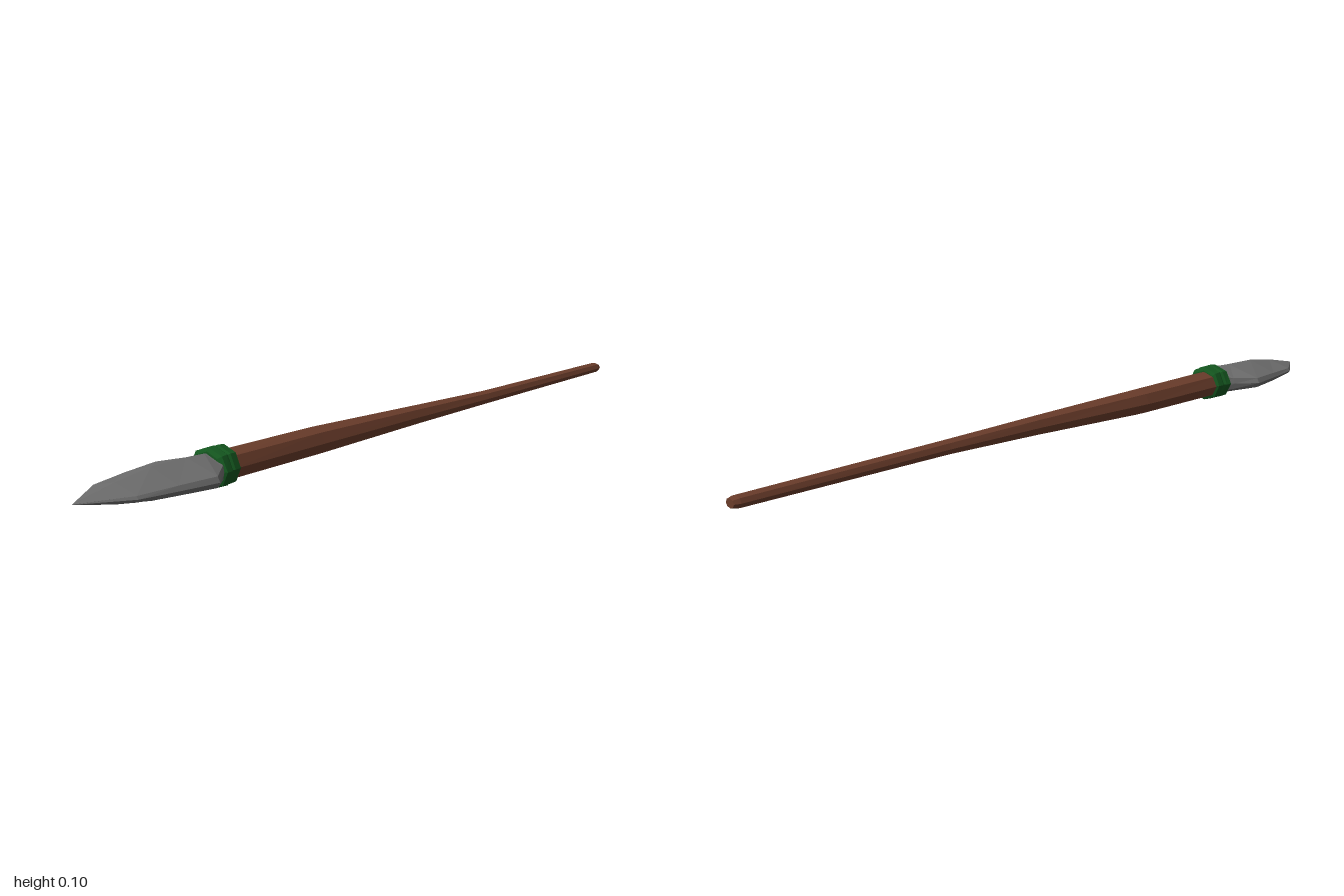
import * as THREE from 'three';

// Skin equal-sized cross-sections (anticlockwise seen from +z) running towards +z, with capped ends
function loft(name, color, sections) {
  const pos = [];
  const tri = (...p) => p.forEach((v) => pos.push(v.x, v.y, v.z));
  const n = sections[0].length;
  for (let i = 0; i < sections.length - 1; i++) {
    for (let j = 0; j < n; j++) {
      const k = (j + 1) % n;
      const [a, b, c, d] = [sections[i][j], sections[i][k], sections[i + 1][j], sections[i + 1][k]];
      tri(a, b, c);
      tri(b, d, c);
    }
  }
  const first = sections[0], last = sections[sections.length - 1];
  for (let j = 1; j < n - 1; j++) {
    tri(first[0], first[j + 1], first[j]);
    tri(last[0], last[j], last[j + 1]);
  }
  const geo = new THREE.BufferGeometry();
  geo.setAttribute('position', new THREE.Float32BufferAttribute(pos, 3));
  geo.computeVertexNormals();
  const mesh = new THREE.Mesh(geo, new THREE.MeshStandardMaterial({ color, flatShading: true }));
  mesh.name = name;
  return mesh;
}

// Faceted oval section
function oval(z, cx, cy, rx, ry, sides = 8) {
  return Array.from({ length: sides }, (_, i) => {
    const a = (i / sides) * Math.PI * 2;
    return new THREE.Vector3(cx + rx * Math.cos(a), cy + ry * Math.sin(a), z);
  });
}

// Flat blade section: central ridge above and below, thin bevelled edges
function blade(z, w, h, edge) {
  const cy = 0.049;
  return [[w, 0], [w * 0.93, edge], [0, h], [-w * 0.93, edge], [-w, 0], [-w * 0.93, -edge], [0, -h], [w * 0.93, -edge]]
    .map(([x, y]) => new THREE.Vector3(x, cy + y, z));
}

export function createModel() {
  const group = new THREE.Group();
  group.name = 'spear';

  // Slightly crooked wooden shaft: z, centre x, centre y, radius x, radius y
  group.add(loft('shaft', 0x6b3d2b, [
    [-1, 0.015, 0.05, 0.015, 0.011],
    [-0.985, 0.015, 0.05, 0.02, 0.015],
    [-0.4, 0.019, 0.05, 0.023, 0.019],
    [-0.1, 0.012, 0.05, 0.028, 0.026],
    [0.28, -0.001, 0.048, 0.041, 0.036],
    [0.61, 0, 0.048, 0.046, 0.037],
  ].map((s) => oval(...s))));

  // Cord binding: two coils with a groove between them
  group.add(loft('binding', 0x14561f, [
    [0.57, 0.001, 0.05, 0.044, 0.038],
    [0.575, 0.001, 0.05, 0.053, 0.047],
    [0.594, 0.002, 0.05, 0.055, 0.049],
    [0.6, 0.002, 0.05, 0.052, 0.046],
    [0.607, 0.003, 0.05, 0.058, 0.05],
    [0.624, 0.003, 0.05, 0.06, 0.048],
    [0.63, 0.003, 0.05, 0.046, 0.04],
  ].map((s) => oval(...s))));

  // Stone spearhead: z, half width, half height, edge thickness
  group.add(loft('spearhead', 0x6b6b6b, [
    [0.605, 0.035, 0.034, 0.02],
    [0.635, 0.062, 0.037, 0.016],
    [0.69, 0.108, 0.039, 0.013],
    [0.79, 0.093, 0.038, 0.011],
    [0.89, 0.075, 0.024, 0.007],
    [1, 0.001, 0.001, 0.0005],
  ].map((s) => blade(...s))));

  return group;
}
